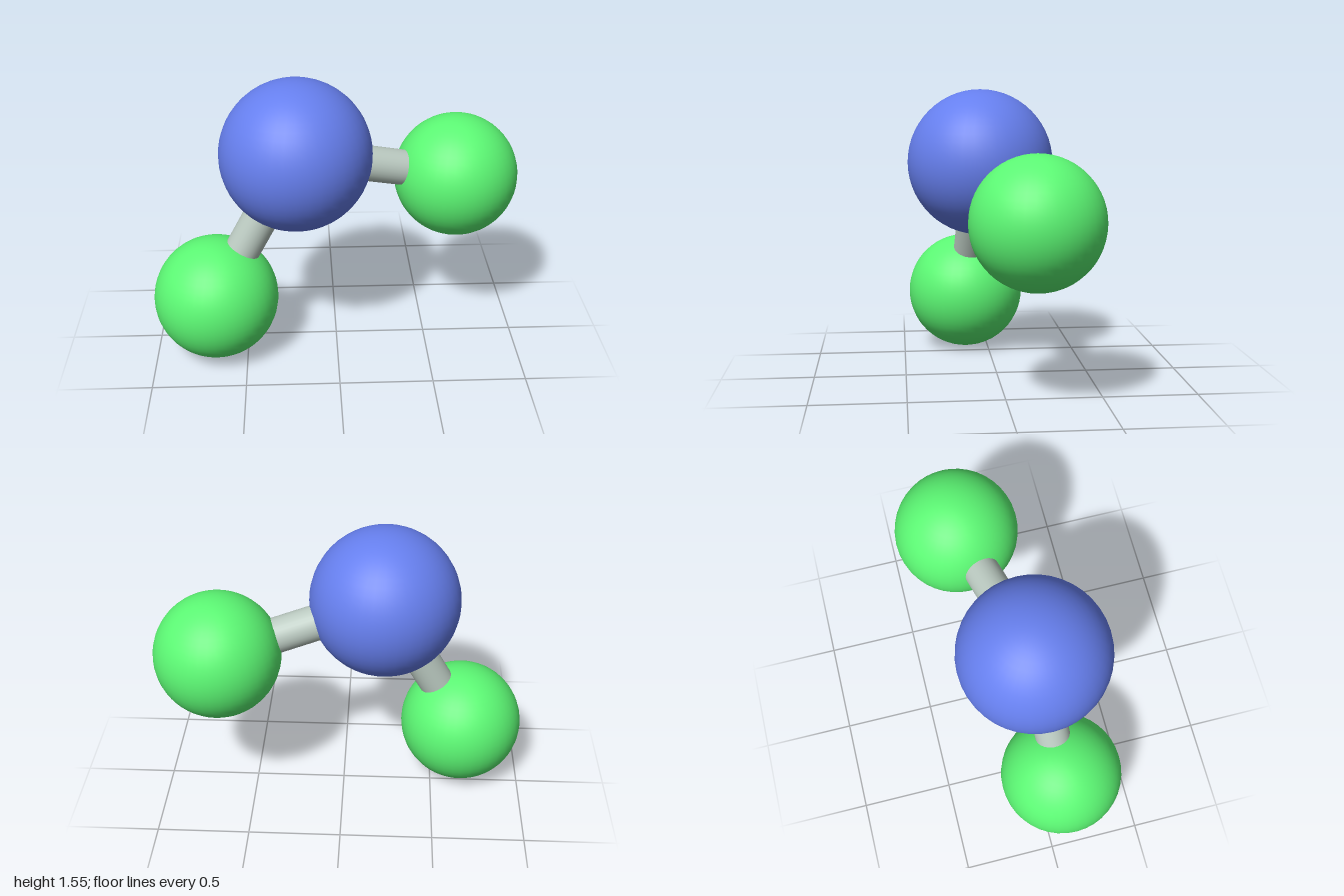
import * as THREE from 'three';

const material = (color) => new THREE.MeshStandardMaterial({ color });

// Ball at a given centre
function ball(name, center, radius, mat) {
  const mesh = new THREE.Mesh(new THREE.SphereGeometry(radius, 40, 28), mat);
  mesh.name = name;
  mesh.position.copy(center);
  return mesh;
}

// Straight rod joining two ball centres
function rod(name, from, to, radius, mat) {
  const dir = to.clone().sub(from);
  const mesh = new THREE.Mesh(new THREE.CylinderGeometry(radius, radius, dir.length(), 32), mat);
  mesh.name = name;
  mesh.position.copy(from).add(to).multiplyScalar(0.5);
  mesh.quaternion.setFromUnitVectors(new THREE.Vector3(0, 1, 0), dir.normalize());
  return mesh;
}

export function createModel() {
  const group = new THREE.Group();
  group.name = 'bentMolecule';

  const blue = material(0x667fee);
  const green = material(0x5cf874);
  const grey = material(0xbccbc2);

  // Large central atom
  const center = new THREE.Vector3(-0.215, 1.152, 0.072);
  group.add(ball('centralAtom', center, 0.403, blue));

  // Two smaller atoms, each on its bond
  const outer = {
    left: new THREE.Vector3(0.662, 0.928, -0.138),
    right: new THREE.Vector3(-0.662, 0.338, 0.129),
  };
  for (const [side, position] of Object.entries(outer)) {
    group.add(ball(side + 'Atom', position, 0.338, green));
    group.add(rod(side + 'Bond', center, position, 0.096, grey));
  }

  return group;
}
